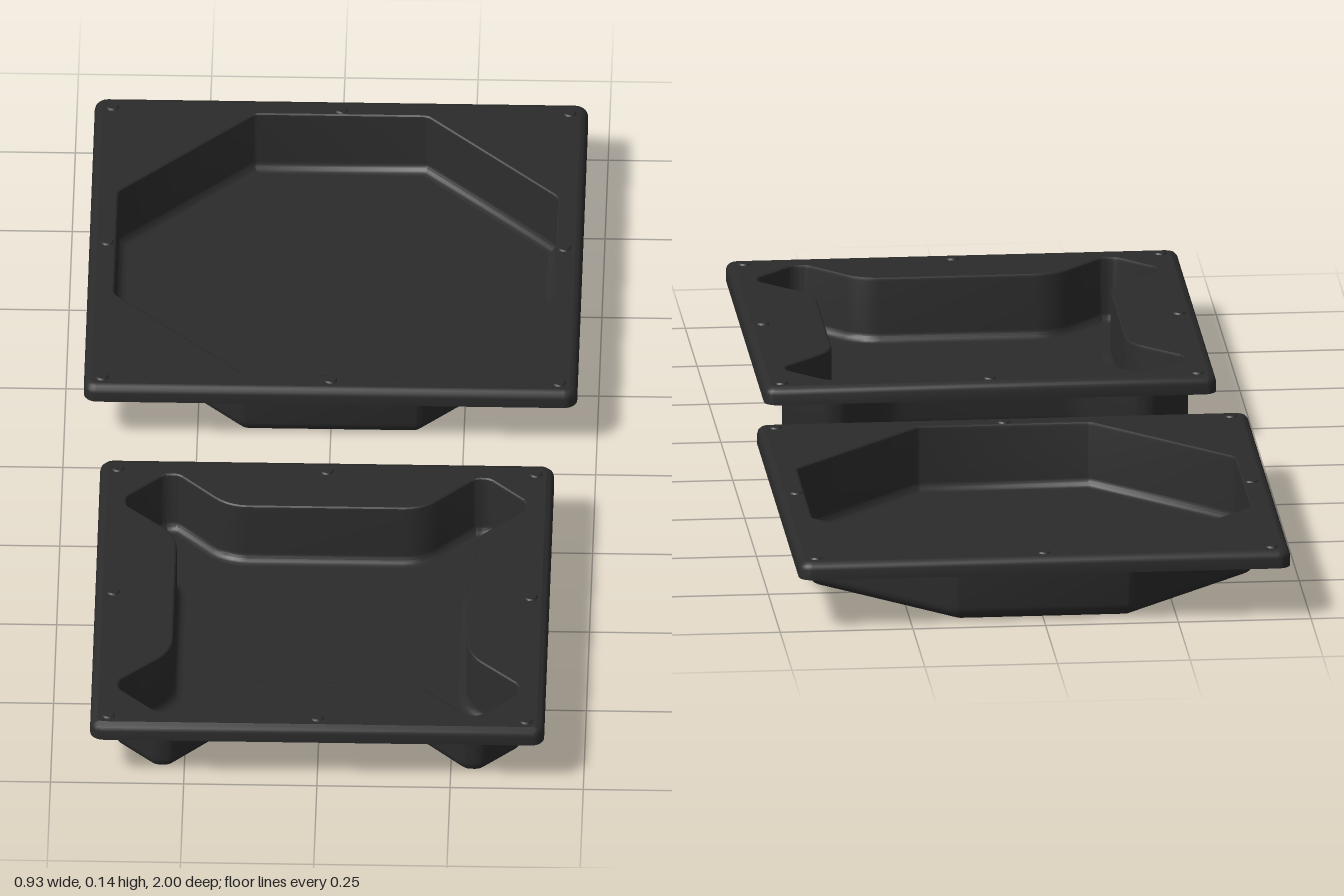
import * as THREE from 'three';
import { toCreasedNormals } from 'three/addons/utils/BufferGeometryUtils.js';

const RIM_TOP = 0.133, RIM_UNDER = 0.121, SKIRT = 0.1;

// Repeat a quarter of an outline four times around the centre, counter-clockwise
function fourfold(quarter) {
  const pts = [];
  for (let k = 0; k < 4; k++) {
    for (const [x, y] of quarter) {
      pts.push(new THREE.Vector2(x, y).rotateAround(new THREE.Vector2(), k * Math.PI / 2));
    }
  }
  return pts;
}

// Round the corners of a polygon; returns points with their outward normals
function roundOutline(poly, rConvex, rConcave, steps) {
  const out = [];
  poly.forEach((p, i) => {
    const prev = poly[(i + poly.length - 1) % poly.length], next = poly[(i + 1) % poly.length];
    const d1 = p.clone().sub(prev).normalize(), d2 = next.clone().sub(p).normalize();
    const turn = Math.atan2(d1.cross(d2), d1.dot(d2));
    const sign = Math.sign(turn), r = sign > 0 ? rConvex : rConcave;
    const n1 = new THREE.Vector2(d1.y, -d1.x);
    const start = p.clone().addScaledVector(d1, -r * Math.tan(Math.abs(turn) / 2));
    const centre = start.clone().addScaledVector(n1, -sign * r);
    for (let s = 0; s <= steps; s++) {
      const n = n1.clone().rotateAround(new THREE.Vector2(), turn * s / steps);
      out.push({ p: centre.clone().addScaledVector(n, sign * r), n });
    }
  });
  return out;
}

const offset = (outline, d) => outline.map(({ p, n }) => p.clone().addScaledVector(n, d));

// Sweep a profile of [offset, height] pairs around an outline
function loft(outline, profile) {
  const pos = [], idx = [], count = outline.length;
  for (const [d, y] of profile) {
    for (const q of offset(outline, d)) pos.push(q.x, y, -q.y);
  }
  for (let j = 0; j < profile.length - 1; j++) {
    for (let i = 0; i < count; i++) {
      const a = j * count + i, b = j * count + (i + 1) % count;
      idx.push(a, b, b + count, a, b + count, a + count);
    }
  }
  const g = new THREE.BufferGeometry();
  g.setAttribute('position', new THREE.Float32BufferAttribute(pos, 3));
  g.setIndex(idx);
  return toCreasedNormals(g, 0.6);
}

// Flat horizontal face, with an optional opening, facing up or down
function plate(points, y, up, hole) {
  const shape = new THREE.Shape(points);
  if (hole) shape.holes.push(new THREE.Path(hole));
  const g = new THREE.ShapeGeometry(shape);
  g.rotateX(up ? -Math.PI / 2 : Math.PI / 2);
  return g.translate(0, y, 0);
}

// Quarter-round profile between a wall and the floor
function fillet(wall, floor, r) {
  const pts = [];
  for (let i = 0; i <= 5; i++) {
    const a = i / 5 * Math.PI / 2;
    pts.push([wall - r + r * Math.sin(a), floor + r - r * Math.cos(a)]);
  }
  return pts;
}

function tray(name, half, bowl, material) {
  const group = new THREE.Group();
  group.name = name;
  const add = (part, geometry) => {
    const mesh = new THREE.Mesh(geometry, material);
    mesh.name = part;
    group.add(mesh);
    return mesh;
  };
  const rim = roundOutline(fourfold([[half, half]]), 0.025, 0.025, 6);

  // Flange: rounded outer edge, hollow underside with a lip
  add('rimEdge', loft(rim, [[-0.012, RIM_UNDER], [-0.012, SKIRT], [0, SKIRT], [0, 0.119],
    [-0.002, 0.126], [-0.007, 0.131], [-0.014, RIM_TOP]]));
  add('rimTop', plate(offset(rim, -0.014), RIM_TOP, true, offset(bowl, -0.004)));
  add('rimUnderside', plate(offset(rim, -0.012), RIM_UNDER, false, offset(bowl, 0)));

  // Bowl: outer skin, inner skin and both sides of the floor
  add('bowlOutside', loft(bowl, [...fillet(0, 0, 0.025), [0, RIM_UNDER]]));
  add('bowlInside', loft(bowl, [[-0.004, RIM_TOP], [-0.007, 0.131], [-0.008, 0.127],
    ...fillet(-0.008, 0.008, 0.017).reverse()]));
  add('bowlBase', plate(offset(bowl, -0.025), 0, false));
  add('bowlFloor', plate(offset(bowl, -0.025), 0.008, true));

  // Small raised studs at the corners and mid-sides
  const e = half - 0.034;
  for (const sx of [-1, 0, 1]) {
    for (const sz of [-1, 0, 1]) {
      if (sx === 0 && sz === 0) continue;
      add('stud', new THREE.CylinderGeometry(0.01, 0.013, 0.004, 16))
        .position.set(sx * e, RIM_TOP + 0.001, sz * e);
    }
  }
  return group;
}

export function createModel() {
  const model = new THREE.Group();
  model.name = 'trays';
  const black = new THREE.MeshStandardMaterial({ color: 0x2b2b2b });
  black.name = 'black plastic';

  // Large tray with an octagonal bowl
  const octagon = roundOutline(fourfold([[0.42, 0.165], [0.165, 0.42]]), 0.03, 0.03, 4);
  const large = tray('octagonTray', 0.463, octagon, black);
  large.position.z = -0.537;

  // Small tray with a square bowl and four diagonal arms
  const cross = roundOutline(fourfold([[0.284, 0.18], [0.382, 0.275], [0.382, 0.308],
    [0.308, 0.382], [0.275, 0.382], [0.18, 0.284]]), 0.03, 0.08, 5);
  const small = tray('crossTray', 0.426, cross, black);
  small.position.z = 0.574;

  model.add(large, small);
  return model;
}
